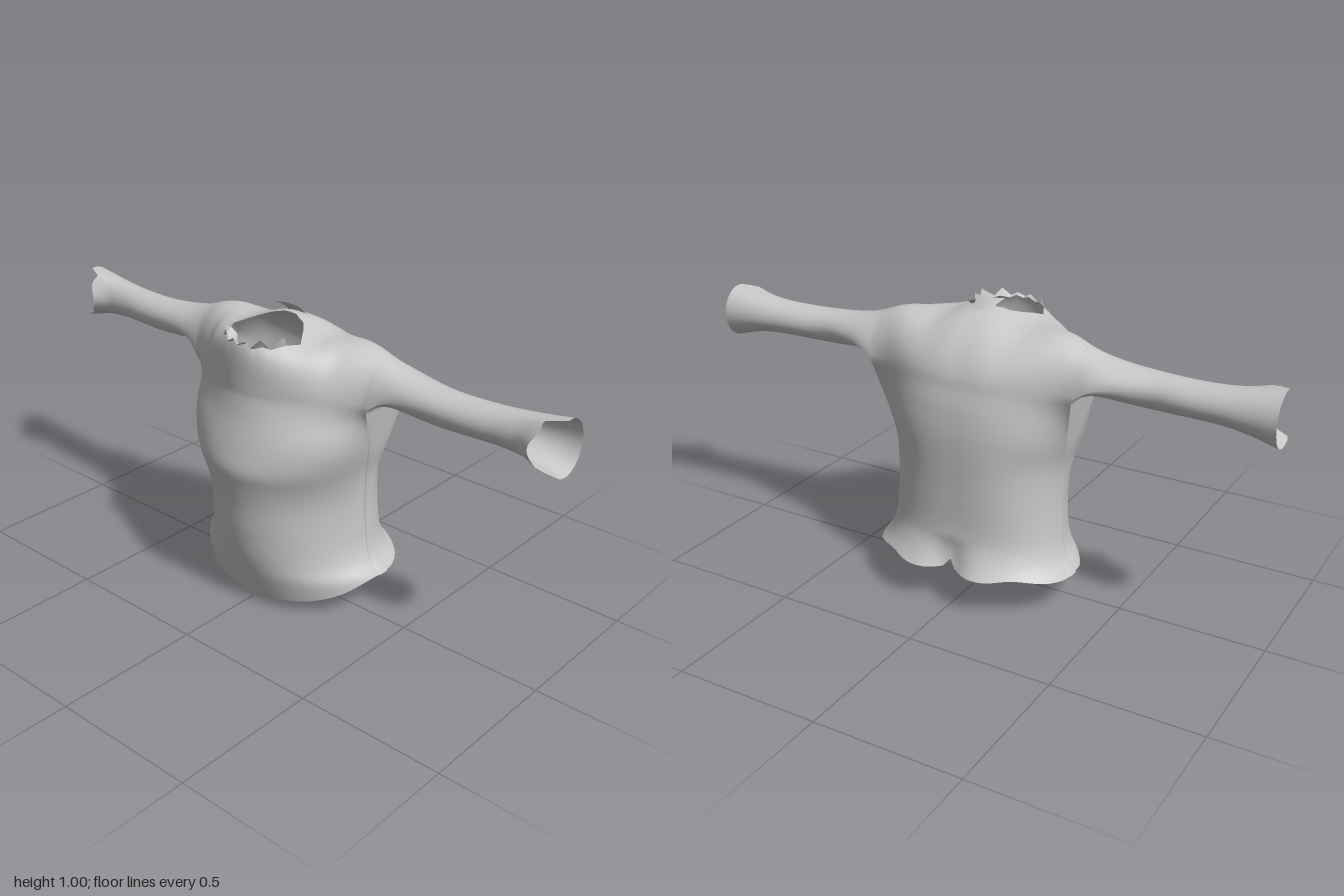
import * as THREE from 'three';
import { mergeGeometries, mergeVertices } from 'three/addons/utils/BufferGeometryUtils.js';

// Smooth curve through [position, value] pairs
function curve(...pts) {
  const slope = (i) => {
    const a = pts[Math.max(0, i - 1)], b = pts[Math.min(pts.length - 1, i + 1)];
    return (b[1] - a[1]) / (b[0] - a[0]);
  };
  return (x) => {
    if (x <= pts[0][0]) return pts[0][1];
    let i = 0;
    while (i < pts.length - 2 && x > pts[i + 1][0]) i++;
    const [x0, y0] = pts[i], [x1, y1] = pts[i + 1];
    const h = x1 - x0, t = Math.min(1, (x - x0) / h), s = 1 - t;
    return y0 * s * s * (1 + 2 * t) + y1 * t * t * (3 - 2 * t)
      + h * t * s * (slope(i) * s - slope(i + 1) * t);
  };
}

// Surface patch from a rule; normal follows a x b. Mirrored for the other half.
function patch(na, nb, rule, mirror) {
  const pos = [], idx = [];
  for (let i = 0; i <= na; i++) {
    for (let j = 0; j <= nb; j++) {
      const [x, y, z] = rule(i / na, j / nb);
      pos.push(mirror ? -x : x, y, z);
      if (i < na && j < nb) {
        const p = i * (nb + 1) + j, q = p + nb + 1;
        if (mirror) idx.push(p, p + 1, q, q, p + 1, q + 1);
        else idx.push(p, q, p + 1, q, q + 1, p + 1);
      }
    }
  }
  const g = new THREE.BufferGeometry();
  g.setAttribute('position', new THREE.Float32BufferAttribute(pos, 3));
  g.setIndex(idx);
  return g;
}

const ARM = 0.37, PIT = 0.77; // armhole x, armpit y
const mix = THREE.MathUtils.lerp, clamp = THREE.MathUtils.clamp;

// Torso outlines by height
const width = curve([0.0, 0.36], [0.13, 0.355], [0.17, 0.325], [0.22, 0.307], [0.3, 0.299], [0.4, 0.298],
  [0.5, 0.307], [0.6, 0.333], [0.7, 0.355], [PIT, ARM]);
const frontZ = curve([0, 0.19], [0.1, 0.222], [0.2, 0.25], [0.3, 0.265], [0.4, 0.275], [0.48, 0.29],
  [0.53, 0.3], [0.6, 0.285], [0.7, 0.255], [PIT, 0.24]);
const backZ = curve([0.14, -0.31], [0.19, -0.272], [0.25, -0.247], [0.4, -0.243], [0.6, -0.247], [0.7, -0.238], [PIT, -0.222]);
const sideFront = curve([0.13, -0.04], [0.3, -0.035], [0.5, -0.02], [0.62, 0.01], [PIT, 0.07]);
const sideBack = curve([0.13, -0.09], [0.3, -0.08], [0.5, -0.08], [0.62, -0.1], [PIT, -0.14]);
// How strongly each panel falls away towards the side seam
const frontFall = curve([0.13, 0.6], [0.4, 0.68], [0.58, 0.52], [0.67, 0.7], [PIT, 1.5]);
const backFall = curve([0.13, 0.6], [0.35, 0.72], [0.5, 0.9], [0.65, 1.25], [PIT, 2.4]);
const hemFront = curve([0, 0.008], [0.05, 0.02], [0.12, 0.032], [0.3, 0.042], [0.55, 0.055], [0.83, 0.088], [1, 0.13]);
const hemBack = curve([0, 0.175], [0.06, 0.15], [0.4, 0.146], [0.7, 0.155], [1, 0.13]);

// Shoulder and sleeve outlines by x
const topY = curve([0, 0.98], [0.05, 0.972], [0.12, 0.948], [0.16, 0.937], [0.2, 0.937], [0.27, 0.939], [0.32, 0.93],
  [ARM, 0.912], [0.42, 0.895], [0.5, 0.88], [0.6, 0.872], [0.7, 0.87], [0.8, 0.874], [0.9, 0.885], [1, 0.9]);
const topZ = curve([0, 0], [0.2, -0.025], [ARM, -0.03], [0.6, -0.03], [1, -0.04]);
const midY = curve([ARM, PIT], [0.42, 0.805], [0.5, 0.82], [0.7, 0.814], [1, 0.812]);
const underY = curve([ARM, PIT], [0.42, 0.778], [0.5, 0.765], [0.6, 0.757], [0.8, 0.757], [0.9, 0.746], [1, 0.72]);
const sleeveFront = curve([ARM, 0.07], [0.42, 0.055], [0.5, 0.045], [0.6, 0.038], [0.7, 0.03], [0.8, 0.021], [0.9, 0.025], [1, 0.045]);
const sleeveBack = curve([ARM, -0.14], [0.42, -0.134], [0.5, -0.115], [0.6, -0.096], [0.7, -0.1], [0.8, -0.105], [1, -0.12]);

// Point on the front or back panel at u across (0 centre, 1 side) and height y
function panel(u, y, front) {
  const fall = front ? frontFall(y) : backFall(y);
  const g = Math.pow(Math.max(0, 1 - Math.pow(u, front ? 2 : 2.7)), fall);
  let z = front ? mix(sideFront(y), frontZ(y), g) : mix(sideBack(y), backZ(y), g);
  if (!front) z += 0.045 * clamp((0.25 - y) / 0.1, 0, 1) * Math.exp(-((u / 0.2) ** 2));
  return [width(y) * u, y, z];
}

const across = (a) => Math.sin(a * Math.PI / 2);
const frontPanel = (a, b) => { const u = across(a); return panel(u, mix(hemFront(u), PIT, b), true); };
const backPanel = (a, b) => { const u = across(a); return panel(u, mix(PIT, hemBack(u), b), false); };
function sidePanel(a, b) {
  const y = mix(0.13, PIT, b), f = sideFront(y), k = sideBack(y);
  const c = Math.cos(a * Math.PI), tz = topZ(ARM);
  const even = mix(f, k, (1 - c) / 2), top = tz + (c > 0 ? f - tz : tz - k) * c;
  const bulge = 0.006 * Math.sin(a * Math.PI) * clamp((PIT - y) / 0.2, 0, 1);
  return [width(y) + bulge, y, mix(even, top, b)];
}

// Shoulder arch from chest over the top to the back, open around the neck
function yoke(a, b, rear) {
  const u = across(a), x = ARM * u;
  const zf = panel(u, PIT, true)[2], zb = panel(u, PIT, false)[2], zt = topZ(x), yt = topY(x);
  const blend = clamp(x / 0.25, 0, 1), nf = mix(7, 2, blend), nb = mix(1.65, 2, blend);
  const open = Math.sqrt(Math.max(0, 1 - (x / 0.125) ** 2));
  const ragged = open > 0 ? 0.006 * (Math.round(a * 24) % 2) : 0;
  const edge = x < 0.125 ? 0.12 + (rear ? -0.12 : 0.113) * open - ragged
    : mix(0.12, zt, clamp((x - 0.125) / 0.2, 0, 1));
  const split = Math.acos(Math.pow(clamp((edge - zt) / (zf - zt), 0, 1), nf / 2));
  const t = rear ? mix(split, Math.PI, b) : split * Math.pow(b, nf / 2);
  const c = Math.cos(t), s = Math.max(0, Math.sin(t)), n = c > 0 ? nf : nb;
  const reach = Math.pow(Math.abs(c), 2 / n);
  return [x, mix(PIT, yt, Math.pow(s, 2 / n)), zt + (c > 0 ? zf - zt : zb - zt) * reach];
}

// Jagged collar strip rising from the front neckline
function collarStrip(a, b) {
  const [x, y, z] = yoke(a * 5 / 24, 1, false);
  const tip = [0.004, 0.008, 0.006, 0.026, 0.004, 0.03][Math.round(a * 5)];
  return [x, y + b * tip, z + b * 0.01];
}

// Sleeve tube with a cuff cut back at the front
function sleeve(a, b) {
  const x = mix(ARM, 1, a), t = b * Math.PI * 2;
  const c = Math.cos(t), s = Math.sin(t), zt = topZ(x), m = midY(x);
  const y = m + (s > 0 ? topY(x) - m : m - underY(x)) * s;
  const z = zt + (c > 0 ? sleeveFront(x) - zt : zt - sleeveBack(x)) * c;
  const cut = clamp((Math.cos(t - 0.2) - 0.4) * 4, 0, 1) * clamp((x - 0.85) / 0.15, 0, 1);
  return [x - cut * (0.07 + 0.012 * Math.cos(4 * t)), y, z];
}

export function createModel() {
  const model = new THREE.Group();
  model.name = 'shirt';
  const cloth = new THREE.MeshStandardMaterial({ color: 0xc8c8c8, side: THREE.DoubleSide });
  cloth.name = 'grey cloth';

  const add = (name, geometry) => {
    geometry.computeVertexNormals();
    const mesh = new THREE.Mesh(geometry, cloth);
    mesh.name = name;
    model.add(mesh);
  };

  // Body and sleeves, welded so the shading runs across the joins
  const parts = [];
  for (const mirror of [false, true]) {
    parts.push(
      patch(24, 36, frontPanel, mirror),
      patch(24, 36, backPanel, mirror),
      patch(20, 36, sidePanel, mirror),
      patch(24, 14, (a, b) => yoke(a, b, false), mirror),
      patch(24, 14, (a, b) => yoke(a, b, true), mirror),
      patch(36, 40, sleeve, mirror),
    );
  }
  add('bodyAndSleeves', mergeVertices(mergeGeometries(parts), 1e-4));

  // Torn edge of the neckline
  add('leftNeckEdge', patch(5, 1, collarStrip, false));
  add('rightNeckEdge', patch(5, 1, collarStrip, true));

  // Torn tab standing at the back of the neck, bowed around it
  add('collarTab', patch(6, 3, (a, b) => {
    const x = mix(-0.055, 0.055, a) * (1 - 0.35 * Math.sin(b * Math.PI));
    return [x, mix(0.955, 1.005, b), mix(-0.06, -0.005, b) + 4 * x * x];
  }, false));
  return model;
}
